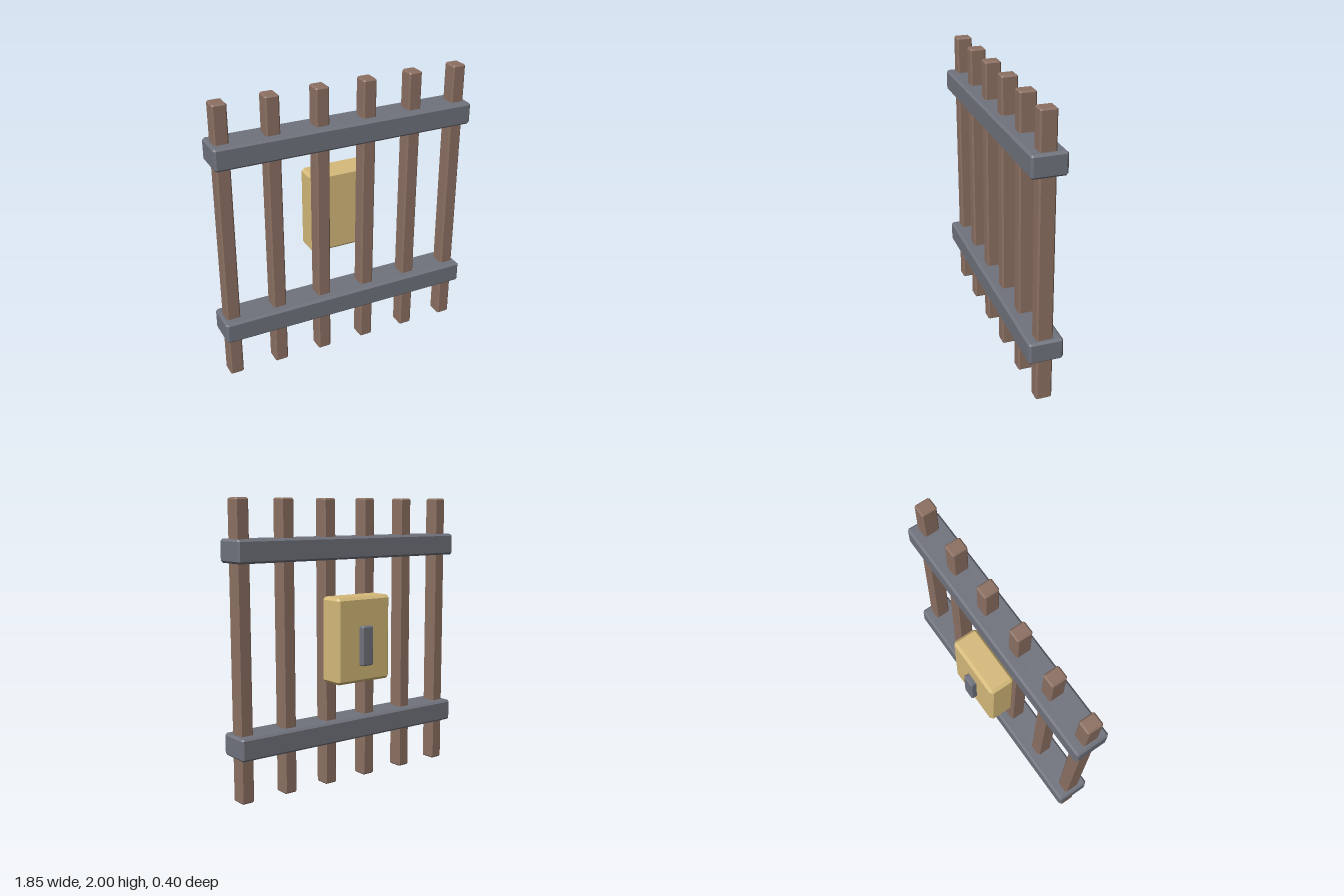
import * as THREE from 'three';
import { ConvexGeometry } from 'three/addons/geometries/ConvexGeometry.js';

const material = (name, color) => {
  const m = new THREE.MeshStandardMaterial({ color });
  m.name = name;
  return m;
};

// Box with flat chamfers on every edge, given by its [min, max] on each axis
function chamferBox(name, x, y, z, c, mat) {
  const centre = [x, y, z].map(([a, b]) => (a + b) / 2);
  const half = [x, y, z].map(([a, b]) => (b - a) / 2);
  const points = [];
  for (const sx of [-1, 1]) for (const sy of [-1, 1]) for (const sz of [-1, 1]) {
    const sign = [sx, sy, sz];
    // each corner becomes three points, one on each adjoining face
    for (let face = 0; face < 3; face++) {
      points.push(new THREE.Vector3(...half.map((h, i) => sign[i] * (i === face ? h : h - c))));
    }
  }
  const mesh = new THREE.Mesh(new ConvexGeometry(points), mat);
  mesh.position.set(...centre);
  mesh.name = name;
  return mesh;
}

export function createModel() {
  const group = new THREE.Group();
  group.name = 'barredGate';
  const rust = material('rusty brown', 0x8c7062);
  const steel = material('grey steel', 0x70737d);
  const brass = material('brass', 0xd6ba7a);

  // Six upright bars
  for (let i = 0; i < 6; i++) {
    const x = -0.85 + i * 0.34;
    group.add(chamferBox('bar', [x - 0.048, x + 0.048], [0, 2], [0.027, 0.138], 0.01, rust));
  }

  // Two cross rails
  for (const y of [0.31, 1.587]) {
    group.add(chamferBox('rail', [-0.925, 0.925], [y, y + 0.153], [-0.037, 0.198], 0.014, steel));
  }

  // Lock case behind the bars, with its handle plate
  group.add(chamferBox('lockCase', [-0.208, 0.245], [0.747, 1.34], [-0.157, 0.03], 0.02, brass));
  group.add(chamferBox('lockPlate', [-0.028, 0.065], [0.867, 1.14], [-0.198, -0.13], 0.008, steel));

  return group;
}
